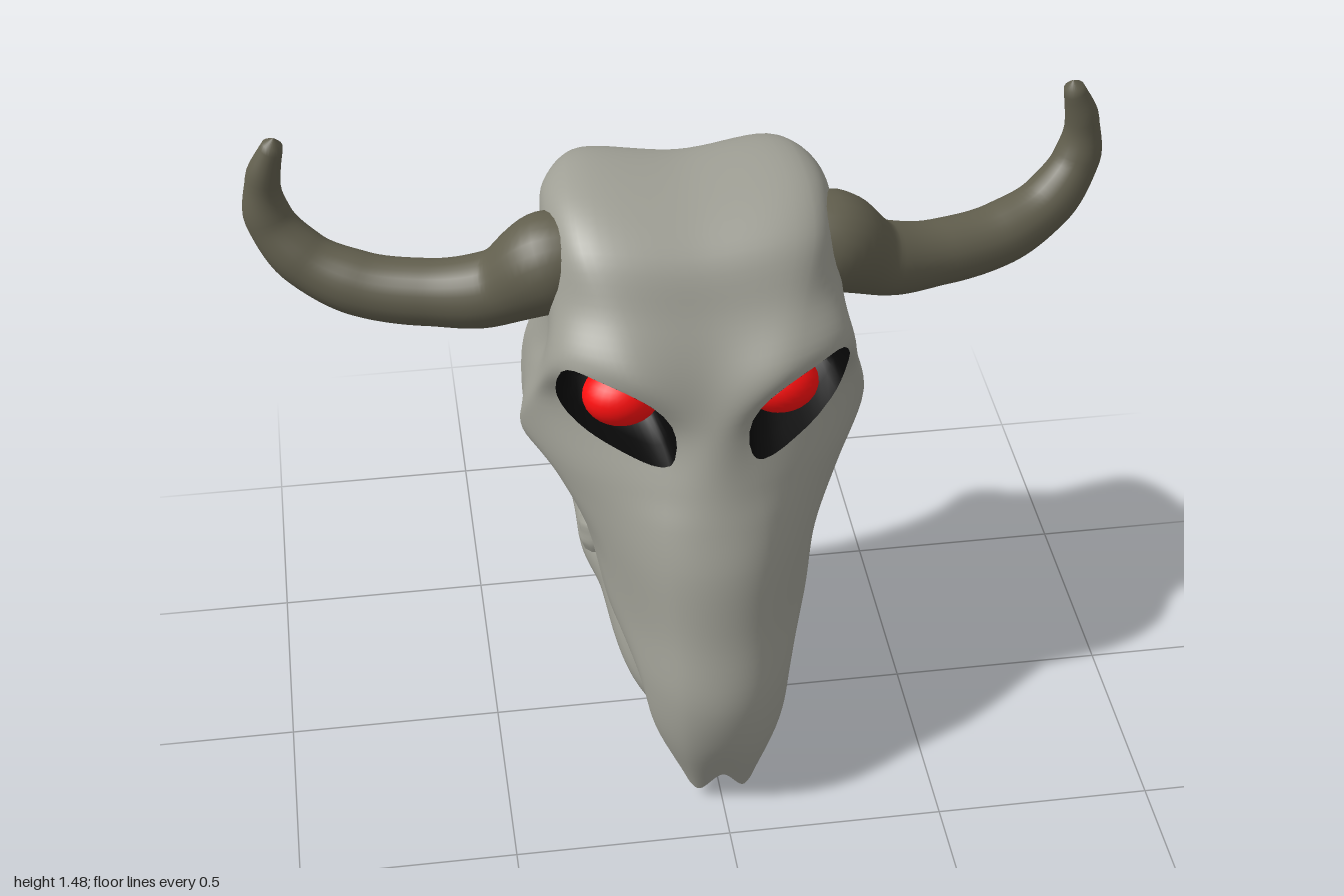
import * as THREE from 'three';
import { mergeVertices } from 'three/addons/utils/BufferGeometryUtils.js';

const V = (x, y, z) => new THREE.Vector3(x, y, z);
const mat = (color, side = THREE.FrontSide) => new THREE.MeshStandardMaterial({ color, side });

// Lengthwise rails of the skull, from under the rear ridge, over the crown, down to the snout tip
const centreRail = [
  [0, 1.15, -.31], [0, 1.29, -.415], [0, 1.355, -.34], [0, 1.365, -.12], [0, 1.3, .03], [0, 1.18, .11], [0, 1.06, .185],
  [0, .95, .235], [0, .82, .285], [0, .74, .32], [0, .64, .36], [0, .48, .395], [0, .32, .435], [0, .2, .425], [0, .08, .385]];
const browRail = [
  [.14, 1.15, -.33], [.22, 1.3, -.445], [.25, 1.365, -.34], [.265, 1.37, -.14], [.26, 1.31, -.005], [.22, 1.2, .09], [.18, 1.09, .19],
  [.095, .95, .205], [.11, .82, .25], [.12, .74, .285], [.115, .64, .325], [.1, .48, .365], [.095, .32, .405], [.085, .18, .4], [.055, .02, .36]];
const templeRail = [
  [.24, 1.15, -.34], [.29, 1.27, -.385], [.315, 1.31, -.32], [.325, 1.32, -.2], [.325, 1.26, -.08], [.32, 1.17, .01], [.33, 1.08, .09],
  [.33, .95, .035], [.3, .8, .09], [.27, .71, .125], [.235, .61, .17], [.195, .45, .235], [.17, .31, .295], [.148, .19, .315], [.08, .05, .345]];
const cheekRail = [
  [.28, 1.13, -.345], [.3, 1.2, -.365], [.315, 1.19, -.325], [.325, 1.16, -.25], [.33, 1.1, -.16], [.34, 1.03, -.09], [.365, .98, -.06],
  [.39, .9, -.05], [.4, .79, -.09], [.335, .725, 0], [.26, .59, .1], [.225, .44, .17], [.178, .3, .25], [.145, .18, .285], [.07, .05, .335]];
const edgeRail = [
  [.29, 1.11, -.345], [.305, 1.13, -.355], [.315, 1.08, -.35], [.33, 1.02, -.345], [.345, .96, -.34], [.37, .88, -.345], [.38, .8, -.35],
  [.382, .72, -.29], [.36, .655, -.2], [.32, .7, -.09], [.265, .57, .05], [.23, .42, .125], [.175, .3, .22], [.14, .17, .24], [.05, .05, .32]];

// Rails of the hollow underside: rim, mid and centre
const hollowCentre = [
  [0, 1.15, -.31], [0, 1.17, -.23], [0, 1.14, -.17], [0, 1.09, -.14], [0, 1.01, -.12], [0, .93, -.1], [0, .86, -.07],
  [0, .8, -.02], [0, .76, .06], [0, .72, .12], [0, .61, .19], [0, .46, .26], [0, .32, .32], [0, .2, .34], [0, .1, .345]];
const hollowMid = edgeRail.map(([x, y, z], i) => [
  x * .7,
  THREE.MathUtils.lerp(y, hollowCentre[i][1], .7),
  THREE.MathUtils.lerp(z, hollowCentre[i][2], i < 7 ? .58 : .75)]);
hollowMid[0] = browRail[0];

const ROWS = centreRail.length - 1;
const toCurves = rails => rails.map(r => new THREE.CatmullRomCurve3(r.map(p => V(...p))));
const outer = toCurves([centreRail, browRail, templeRail, cheekRail, edgeRail]);
const hollow = toCurves([hollowCentre, hollowMid, edgeRail]);

// Point on a mirrored set of rails: u counts rails from the centre, v counts rows
function surfacePoint(rails, u, v) {
  const half = rails.map(r => r.getPoint(v / ROWS));
  const mirrored = half.slice(1).reverse().map(p => V(-p.x, p.y, p.z));
  const side = rails.length - 1;
  return new THREE.CatmullRomCurve3([...mirrored, ...half]).getPoint((u + side) / (2 * side));
}

// Eye opening: a slanted rounded box in surface coordinates
const eye = { u: 1.45, v: 6.8, ru: .56, rv: .7, slant: -.4 };
const roundBox = (a, b) => Math.cbrt(Math.abs(a) ** 3 + Math.abs(b) ** 3);
const eyePoint = (a, b) => [eye.u + a * eye.ru, eye.v + b * eye.rv + a * eye.ru * eye.slant];

function gridGeometry(points, cols, keep = () => true) {
  const index = [];
  const rows = points.length / cols;
  for (let i = 0; i < rows - 1; i++) {
    for (let j = 0; j < cols - 1; j++) {
      if (!keep(i, j)) continue;
      const a = i * cols + j, b = a + cols;
      index.push(a, b, a + 1, b, b + 1, a + 1);
    }
  }
  const geo = new THREE.BufferGeometry().setFromPoints(points);
  geo.setIndex(index);
  geo.computeVertexNormals();
  return geo;
}

function skullGeometry() {
  const nu = 72, nv = 84, points = [], radius = [];
  for (let i = 0; i <= nv; i++) {
    for (let j = 0; j <= nu; j++) {
      let u = (j / nu * 2 - 1) * 4, v = i / nv * ROWS;
      const du = Math.abs(u) - eye.u;
      const a = du / eye.ru, b = (v - eye.v - du * eye.slant) / eye.rv;
      const r = roundBox(a, b);
      radius.push(r);
      if (r < 1 && r > .05) { // snap to the rim of the eye opening
        const [ru, rv] = eyePoint(a / r, b / r);
        u = Math.sign(u) * ru;
        v = rv;
      }
      points.push(surfacePoint(outer, u, v));
    }
  }
  const cols = nu + 1;
  return gridGeometry(points, cols, (i, j) =>
    [0, 1, cols, cols + 1].some(k => radius[i * cols + j + k] >= 1));
}

function hollowGeometry() {
  const nu = 32, nv = 70, points = [];
  for (let i = 0; i <= nv; i++) {
    for (let j = 0; j <= nu; j++) points.push(surfacePoint(hollow, (1 - j / nu * 2) * 2, i / nv * ROWS));
  }
  return gridGeometry(points, nu + 1);
}

// Dark bowl running inward from the rim of the eye opening
function socketGeometry() {
  const n = 40, points = [], centre = V(.18, .96, -.09);
  for (const [toCentre, depth] of [[0, 0], [.08, .05], [.25, .09], [1, 0]]) {
    for (let j = 0; j <= n; j++) {
      const t = j / n * Math.PI * 2, c = Math.cos(t), s = Math.sin(t), k = 1 / roundBox(c, s);
      const p = surfacePoint(outer, ...eyePoint(c * k, s * k)).lerp(centre, toCentre);
      p.z -= depth;
      points.push(p);
    }
  }
  return gridGeometry(points, n + 1);
}

// Tube along points [x, y, z, radius]
function taperedTube(pts, segments = 48, sides = 18) {
  const path = new THREE.CatmullRomCurve3(pts.map(p => V(p[0], p[1], p[2])));
  let geo = new THREE.TubeGeometry(path, segments, 1, sides);
  const pos = geo.attributes.position, p = V(0, 0, 0);
  for (let i = 0; i <= segments; i++) {
    const t = path.getUtoTmapping(i / segments) * (pts.length - 1);
    const k = Math.min(Math.floor(t), pts.length - 2);
    const r = THREE.MathUtils.lerp(pts[k][3], pts[k + 1][3], THREE.MathUtils.smoothstep(t - k, 0, 1));
    const c = path.getPointAt(i / segments);
    for (let j = 0; j <= sides; j++) {
      const n = i * (sides + 1) + j;
      p.fromBufferAttribute(pos, n).sub(c).multiplyScalar(r).add(c);
      pos.setXYZ(n, p.x, p.y, p.z);
    }
  }
  geo.deleteAttribute('normal');
  geo.deleteAttribute('uv');
  geo = mergeVertices(geo, 1e-5);
  geo.computeVertexNormals();
  return geo;
}

function mirrorGeometry(geo) {
  const g = geo.clone().scale(-1, 1, 1);
  g.setIndex(Array.from(g.index.array).reverse());
  g.computeVertexNormals();
  return g;
}

export function createModel() {
  const group = new THREE.Group();
  const bone = mat(0x9f9f95), shell = mat(0x9f9f95, THREE.DoubleSide);
  const horn = mat(0x625f4e), red = mat(0xff1010), black = mat(0x080808, THREE.DoubleSide);

  const add = (name, geo, material) => {
    const mesh = new THREE.Mesh(geo, material);
    mesh.name = name;
    group.add(mesh);
  };
  const addPair = (name, geo, material) => {
    add('left' + name, geo, material);
    add('right' + name, mirrorGeometry(geo), material);
  };

  add('skull', skullGeometry(), shell);
  add('skullHollow', hollowGeometry(), shell);
  addPair('EyeSocket', socketGeometry(), black);
  addPair('Eye', new THREE.SphereGeometry(1, 28, 18).scale(.09, .07, .08).translate(.182, .945, .025), red);

  // Horns sweep out, back and up
  addPair('Horn', taperedTube([
    [.22, 1.25, -.115, .09], [.32, 1.213, -.132, .118], [.45, 1.13, -.17, .088], [.6, 1.108, -.21, .078],
    [.75, 1.12, -.25, .075], [.87, 1.175, -.29, .066], [.94, 1.27, -.32, .055], [.945, 1.37, -.32, .04],
    [.917, 1.46, -.31, .026], [.912, 1.482, -.308, .001]], 64, 24), horn);

  // Lower jaw: one branch per side meeting at the chin
  addPair('JawBranch', taperedTube([
    [.3, .84, -.31, .012], [.3, .78, -.32, .04], [.28, .7, -.315, .055], [.245, .6, -.365, .06],
    [.235, .535, -.29, .052], [.23, .485, -.19, .05], [.215, .43, -.1, .058], [.185, .35, -.03, .05],
    [.165, .25, .035, .046], [.13, .16, .09, .043], [.065, .09, .125, .044], [0, .075, .14, .046]], 72, 16), bone);
  addPair('JawBump', taperedTube([
    [.215, .41, -.1, .05], [.222, .47, -.09, .058], [.235, .51, -.09, .045], [.24, .532, -.093, .025],
    [.24, .542, -.095, .001]], 16, 14), bone);
  addPair('JawTip', taperedTube([
    [.02, .08, .12, .045], [.035, .088, .18, .038], [.035, .1, .235, .024], [.035, .1, .258, .001]], 14, 14), bone);
  add('chin', taperedTube([
    [0, .09, .15, .05], [0, .05, .14, .042], [0, .02, .125, .024], [0, 0, .12, .001]], 12, 14), bone);

  return group;
}
